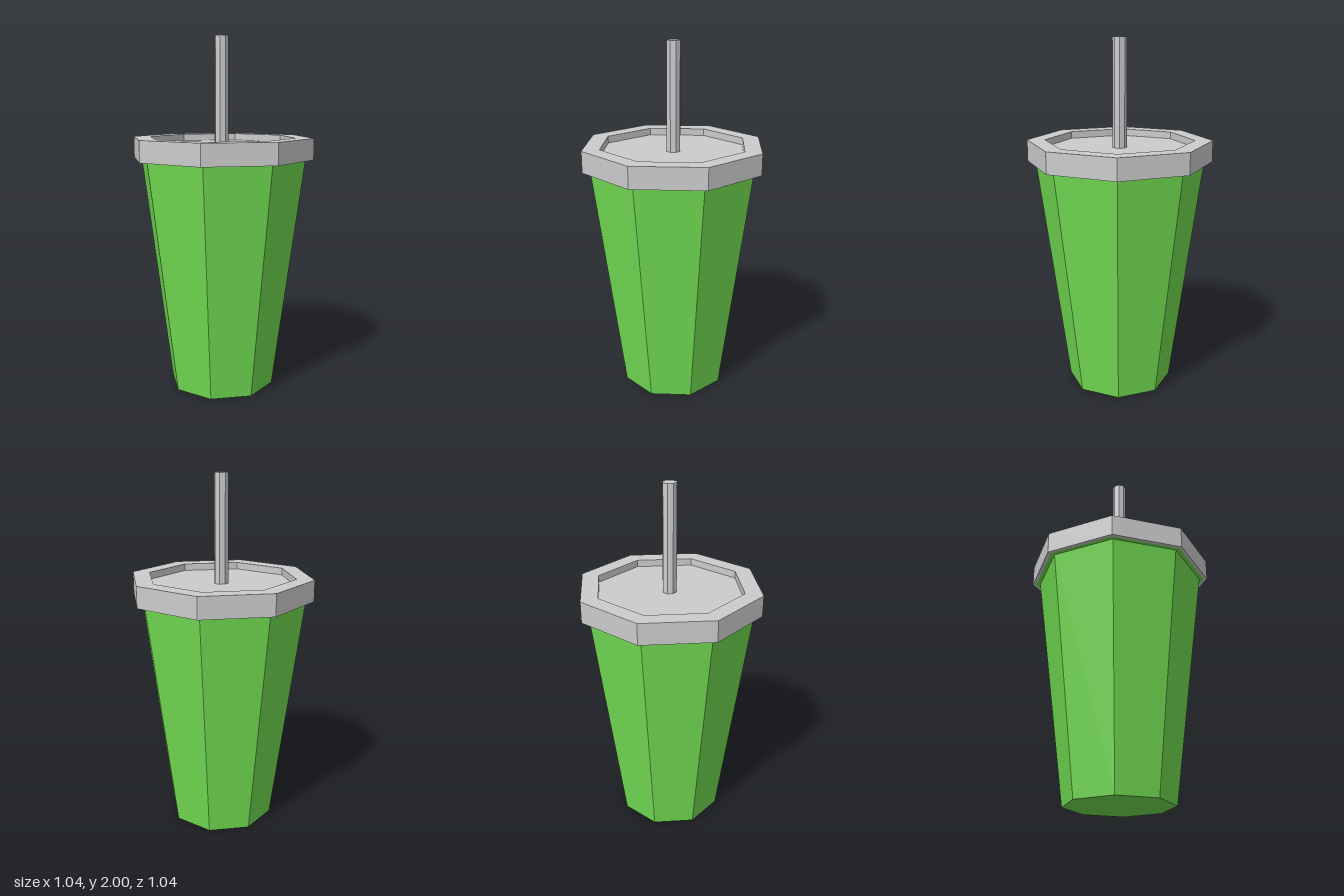
import * as THREE from 'three';

const SIDES = 8;

// Revolves [radius, height] points into a faceted octagonal part
function octagonPart(name, profile, color) {
  const points = profile.map(([r, y]) => new THREE.Vector2(r, y));
  const mesh = new THREE.Mesh(
    new THREE.LatheGeometry(points, SIDES),
    new THREE.MeshStandardMaterial({ color, flatShading: true })
  );
  mesh.name = name;
  return mesh;
}

export function createModel() {
  const model = new THREE.Group();
  model.name = 'drinkCup';

  // Tapered cup with a narrow ledge under the lid
  model.add(octagonPart('cup', [[0, 0], [0.3, 0], [0.475, 1.32], [0.5, 1.32]], 0x72dd52));

  // Overhanging lid with a raised rim around a sunken floor
  model.add(octagonPart('lid', [
    [0.5, 1.32], [0.52, 1.32], [0.52, 1.44], [0.42, 1.44], [0.42, 1.4], [0, 1.4],
  ], 0xcccccc));

  // Straw standing on the lid floor, closed at the top
  model.add(octagonPart('straw', [[0.04, 1.4], [0.04, 2], [0, 2]], 0xcccccc));

  return model;
}
